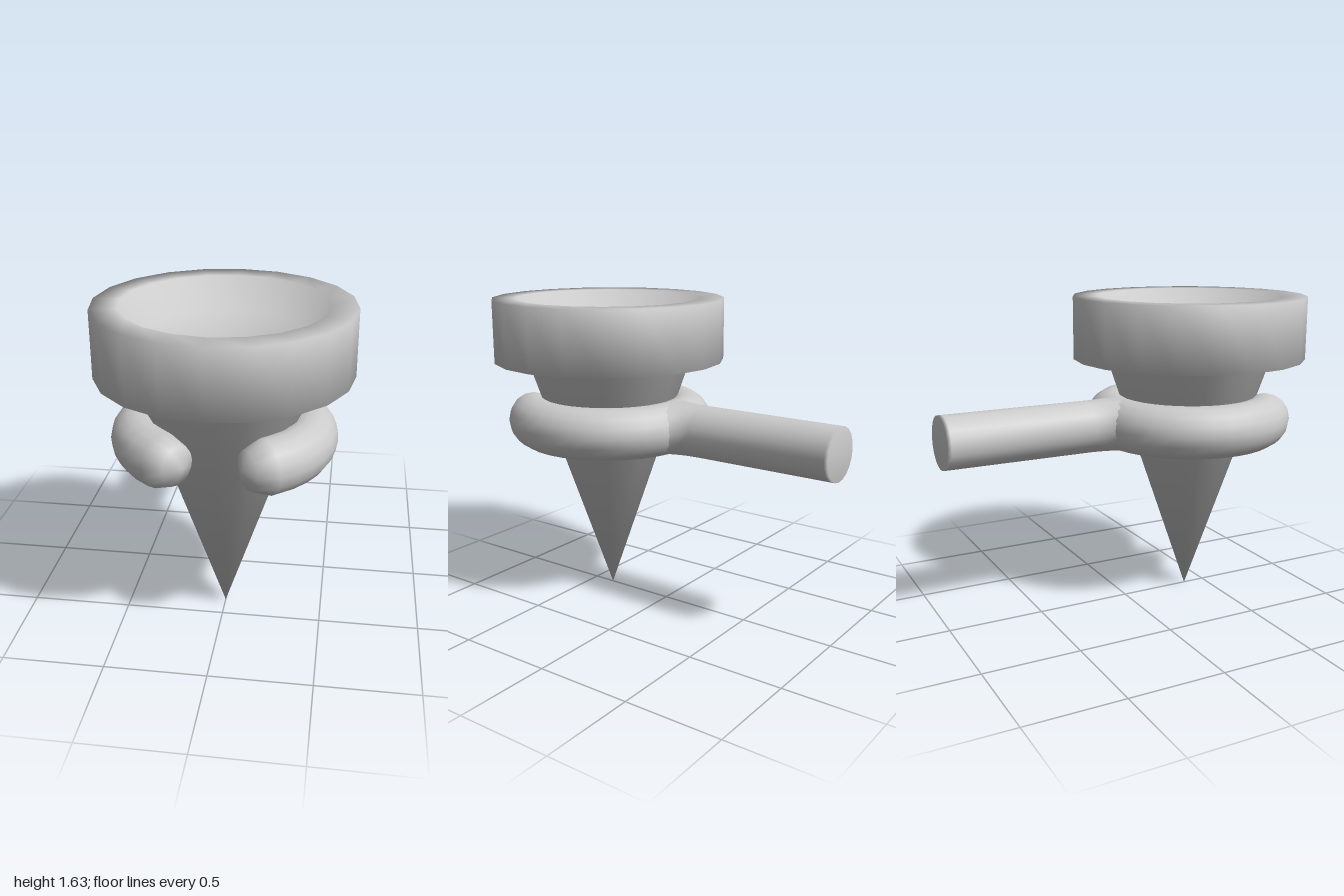
import * as THREE from 'three';
import { mergeVertices } from 'three/addons/utils/BufferGeometryUtils.js';

const AXIS_Z = 0.38;   // vertical axis of cone, cup and ring
const RING_Y = 0.98;   // height of ring and handle
const RING_R = 0.415;  // radius of the ring's centre line
const ROD_R = 0.135;   // thickness of ring and handle

const material = new THREE.MeshStandardMaterial({ color: 0xcccccc });

function part(name, geometry, x, y, z) {
  const mesh = new THREE.Mesh(geometry, material);
  mesh.name = name;
  mesh.position.set(x, y, z);
  return mesh;
}

function lathe(points, segments) {
  return new THREE.LatheGeometry(points.map(([x, y]) => new THREE.Vector2(x, y)), segments);
}

// Shared, fully smooth normals
function smooth(geometry) {
  geometry.deleteAttribute('uv');
  geometry.deleteAttribute('normal');
  const merged = mergeVertices(geometry, 1e-4);
  merged.computeVertexNormals();
  return merged;
}

export function createModel() {
  const group = new THREE.Group();

  // Pointed cone running into a twenty-sided cup with a broad lip and a shallow dish
  const body = lathe([
    [0, 0], [0.44, 1.303], [0.618, 1.303], [0.618, 1.63],
    [0.49, 1.63], [0.38, 1.48], [0, 1.48],
  ], 20);
  group.add(part('coneAndCup', smooth(body), 0, 0, AXIS_Z));

  // Ring around the cone, open at the front
  const gap = THREE.MathUtils.degToRad(35);
  const ring = new THREE.TorusGeometry(RING_R, ROD_R, 16, 28, Math.PI * 2 - gap * 2);
  ring.rotateZ(Math.PI / 2 + gap);
  ring.rotateX(Math.PI / 2);
  group.add(part('ring', ring, 0, RING_Y, AXIS_Z));

  // Bevelled ends of the ring, pointing along its curve
  for (const [name, side] of [['leftRingEnd', 1], ['rightRingEnd', -1]]) {
    const end = new THREE.SphereGeometry(ROD_R, 16, 4);
    end.rotateZ(side * Math.PI / 2);
    end.rotateY(side * gap);
    group.add(part(name, end, side * RING_R * Math.sin(gap), RING_Y, AXIS_Z + RING_R * Math.cos(gap)));
  }

  // Straight handle to the back, widening sideways where it meets the ring
  const length = 0.97;
  const flare = 0.2;
  const handle = lathe([
    [ROD_R, 0], [ROD_R, 0.05], [ROD_R, 0.1], [ROD_R, 0.15], [ROD_R, flare],
    [ROD_R, length - 0.02], [ROD_R, length], [0, length],
  ], 20);
  handle.rotateX(-Math.PI / 2);
  const p = handle.attributes.position;
  for (let i = 0; i < p.count; i++) {
    const t = Math.max(0, 1 + p.getZ(i) / flare);
    p.setX(i, p.getX(i) * (1 + 1.2 * t * t));
  }
  group.add(part('handle', smooth(handle), 0, RING_Y, length - 1));

  return group;
}
